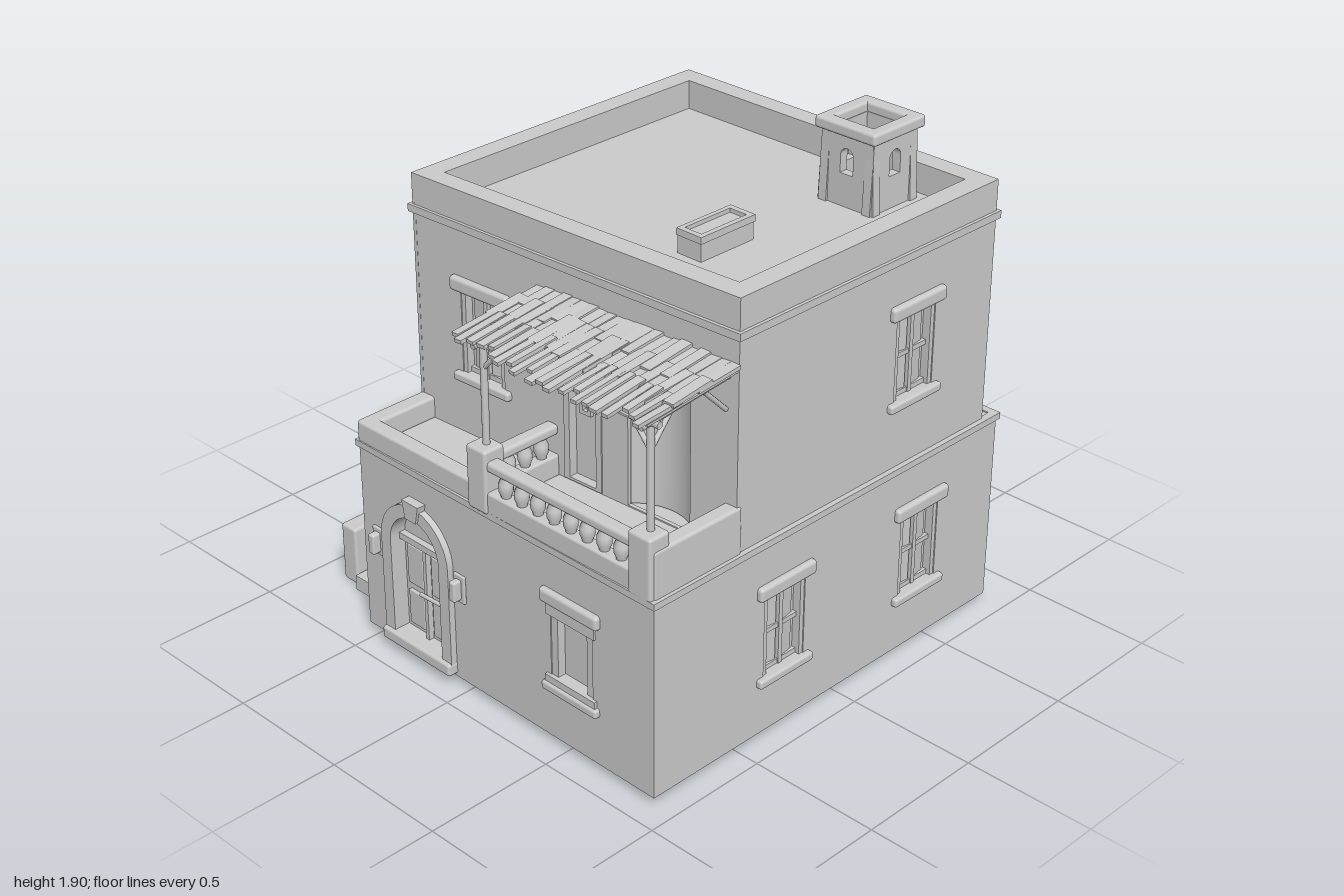
import * as THREE from 'three';
import { RoundedBoxGeometry } from 'three/addons/geometries/RoundedBoxGeometry.js';

const mat = new THREE.MeshStandardMaterial({ color: 0xcccccc, side: THREE.DoubleSide });

function add(parent, name, geo, x = 0, y = 0, z = 0) {
  const m = new THREE.Mesh(geo, mat);
  m.name = name;
  m.position.set(x, y, z);
  parent.add(m);
  return m;
}

// Box given by its extents; soft > 0 rounds the edges
function block(parent, name, x0, x1, y0, y1, z0, z1, soft = 0) {
  const s = [x1 - x0, y1 - y0, z1 - z0];
  const geo = soft ? new RoundedBoxGeometry(...s, 2, soft) : new THREE.BoxGeometry(...s);
  return add(parent, name, geo, (x0 + x1) / 2, (y0 + y1) / 2, (z0 + z1) / 2);
}

// Round bar between two points
function bar(parent, name, p, q, r) {
  const a = new THREE.Vector3(...p), d = new THREE.Vector3(...q).sub(a);
  const m = add(parent, name, new THREE.CylinderGeometry(r, r, d.length(), 8));
  m.position.copy(a).addScaledVector(d, 0.5);
  m.quaternion.setFromUnitVectors(new THREE.Vector3(0, 1, 0), d.normalize());
}

const toShape = pts => new THREE.Shape(pts.map(p => new THREE.Vector2(...p)));
const rect = (x0, x1, y0, y1) => toShape([[x0, y0], [x1, y0], [x1, y1], [x0, y1]]);

function arch(cx, half, y0, spring) {
  const s = new THREE.Shape();
  s.moveTo(cx - half, y0);
  s.lineTo(cx + half, y0);
  s.lineTo(cx + half, spring);
  s.absarc(cx, spring, half, 0, Math.PI, false);
  s.closePath();
  return s;
}

function extrude(shape, holes, depth) {
  shape.holes.push(...holes);
  return new THREE.ExtrudeGeometry(shape, { depth, bevelEnabled: false, curveSegments: 16 });
}

// Slab or ring from a plan outline of [x, z] corners
function plan(parent, name, outer, inner, y0, y1) {
  const geo = extrude(toShape(outer), inner ? [toShape(inner)] : [], y1 - y0);
  return add(parent, name, geo.rotateX(Math.PI / 2), 0, y1, 0);
}

// Grow (d > 0) or shrink a four-cornered plan
const grow = (pts, d) => pts.map(([x, z]) => [x + Math.sign(x) * d, z + Math.sign(z) * d]);

// Wall panel from a to b, left to right as seen from outside; local z points out
function wall(parent, name, a, b, y0, y1, holes, foot) {
  const g = new THREE.Group();
  g.name = name;
  const dx = b[0] - a[0], dz = b[1] - a[1], len = Math.hypot(dx, dz);
  g.position.set(a[0], 0, a[1]);
  g.rotation.y = Math.atan2(-dz, dx);
  const outline = toShape([[0, y0], ...foot, [len, y0], [len, y1], [0, y1]]);
  add(g, 'wallPanel', extrude(outline, holes, 0.015), 0, 0, -0.015);
  parent.add(g);
  return g;
}

const windowHole = ([s, y]) => rect(s - 0.1, s + 0.1, y + 0.03, y + 0.35);

// Window: sill, lintel, frame, panes and glazing bars; a plain one is a framed niche
function addWindow(g, [s, y, plain]) {
  const w = new THREE.Group();
  w.name = 'window';
  w.position.set(s, y, 0);
  g.add(w);
  block(w, 'sill', -0.132, 0.132, 0, 0.034, -0.03, 0.022, 0.01);
  block(w, 'lintel', -0.138, 0.138, 0.345, 0.4, -0.03, 0.022, 0.014);
  block(w, 'pane', -0.1, 0.1, 0.03, 0.35, -0.042, -0.036);
  const rim = plain ? 0.03 : 0.018;
  for (const k of [-1, 1]) {
    block(w, 'jamb', k * (0.1 - rim / 2) - rim / 2, k * (0.1 - rim / 2) + rim / 2, 0.03, 0.35, -0.04, -0.004);
    if (!plain) block(w, 'sash', k * 0.042 - 0.026, k * 0.042 + 0.026, 0.05, 0.33, -0.034, -0.028).rotation.y = k * 0.15;
  }
  if (plain) {
    block(w, 'nicheHead', -0.115, 0.115, 0.3, 0.35, -0.04, 0.008);
    block(w, 'nicheFoot', -0.12, 0.12, 0.03, 0.06, -0.04, 0.012);
    return;
  }
  block(w, 'mullion', -0.009, 0.009, 0.03, 0.35, -0.04, -0.016);
  for (const h of [0.044, 0.19, 0.334])
    block(w, 'glazingBar', -0.1, 0.1, h - 0.009, h + 0.009, -0.04, -0.02);
}

// Four walls around a plan [backLeft, backRight, frontRight, frontLeft]
function storey(parent, name, p, y0, y1, sides) {
  const g = new THREE.Group();
  g.name = name;
  parent.add(g);
  const ends = { front: [3, 2], right: [2, 1], back: [1, 0], left: [0, 3] };
  const out = {};
  for (const [side, [i, j]] of Object.entries(ends)) {
    const { windows, holes = [], foot = [] } = sides[side];
    out[side] = wall(g, side + 'Wall', p[i], p[j], y0, y1, [...windows.map(windowHole), ...holes], foot);
    windows.forEach(w => addWindow(out[side], w));
  }
  return out;
}

const balusterGeo = new THREE.LatheGeometry(
  [[0.018, 0], [0.018, 0.01], [0.026, 0.03], [0.026, 0.055], [0.016, 0.08], [0.018, 0.1]]
    .map(p => new THREE.Vector2(...p)), 12);

// Stair line as [z, y]: three deep treads, a small landing, then nine steeper steps
function stairLine() {
  const pts = [];
  for (let i = 0, z = 0.76; i < 13; i++) {
    const y = (i + 1) * 0.0605, next = z - (i < 4 ? 0.14 : 0.74 / 9);
    pts.push([z, y], [next, y]);
    z = next;
  }
  return pts;
}

export function createModel() {
  const house = new THREE.Group();
  house.name = 'house';
  const low = [[-0.545, -0.825], [0.915, -0.825], [0.915, 0.905], [-0.545, 0.89]];
  const up = [[-0.545, -0.755], [0.905, -0.755], [0.905, 0.52], [-0.545, 0.6]];
  const line = stairLine(), back = [...line].reverse();

  // Ground floor, open below and under the stair, and first floor
  const ground = storey(house, 'groundFloor', low, 0.03, 0.78, {
    front: { windows: [[1.075, 0.22, true]], holes: [arch(0.305, 0.13, 0.06, 0.48)] },
    right: { windows: [[0.62, 0.22], [1.32, 0.22]] },
    back: { windows: [[0.55, 0.21], [0.99, 0.21]] },
    left: { windows: [[1.21, 0.22]], foot: [[0.285, 0.03], ...back.map(([z, y]) => [z + 0.825, y - 0.03])] },
  });
  const upper = storey(house, 'firstFloor', up, 0.76, 1.6, {
    front: { windows: [[0.32, 0.99]], holes: [rect(0.7, 0.87, 0.79, 1.27), rect(0.985, 1.255, 0.79, 1.29)] },
    right: { windows: [[0.87, 1.015]] },
    back: { windows: [[0.42, 1.01], [1.08, 1.01]] },
    left: { windows: [[0.39, 1.01], [1.07, 1.01]] },
  });
  plan(house, 'terraceFloor', low, null, 0.755, 0.785);
  plan(house, 'lowerCornice', grow(low, 0.01), grow(low, -0.02), 0.765, 0.79);
  plan(house, 'upperCornice', grow(up, 0.012), grow(up, -0.02), 1.567, 1.595);
  plan(house, 'roofParapet', up, grow(up, -0.08), 1.58, 1.71);
  plan(house, 'roofFloor', grow(up, -0.02), null, 1.575, 1.6);

  // Arched front door with surround, keystone, threshold and lamps
  const door = new THREE.Group();
  door.name = 'frontDoor';
  ground.front.add(door);
  door.position.x = 0.305;
  add(door, 'doorSurround', extrude(arch(0, 0.178, 0.06, 0.47), [arch(0, 0.128, 0.061, 0.47)], 0.075), 0, 0, -0.05);
  add(door, 'doorBack', extrude(arch(0, 0.13, 0.06, 0.47), [], 0.01), 0, 0, -0.05);
  add(door, 'keystone', extrude(toShape([[-0.028, 0.6], [0.028, 0.6], [0.043, 0.67], [-0.043, 0.67]]), [], 0.075), 0, 0, -0.04);
  block(door, 'threshold', -0.185, 0.18, 0.04, 0.09, -0.05, 0.04, 0.012);
  block(door, 'transom', -0.128, 0.128, 0.455, 0.48, -0.06, -0.015);
  block(door, 'doorMeetingRail', -0.008, 0.008, 0.09, 0.46, -0.06, -0.018);
  for (const k of [-1, 1]) {
    for (const [y0, y1] of [[0.11, 0.25], [0.28, 0.44]])
      block(door, 'doorPanel', k * 0.064 - 0.042, k * 0.064 + 0.042, y0, y1, -0.06, -0.028, 0.004);
    block(door, 'lampPlate', k * 0.217 - 0.028, k * 0.217 + 0.028, 0.36, 0.47, 0, 0.012, 0.004);
    block(door, 'lampGlass', k * 0.217 - 0.015, k * 0.217 + 0.015, 0.375, 0.455, 0.008, 0.045, 0.008);
  }
  bar(door, 'doorHandle', [-0.01, 0.28, -0.005], [0.1, 0.285, -0.005], 0.008);

  // Terrace door and wide opening
  block(upper.front, 'terraceDoorLeaf', 0.7, 0.87, 0.79, 1.27, -0.04, -0.03);
  add(upper.front, 'terraceDoorFrame',
    extrude(rect(0.7, 0.87, 0.79, 1.27), [rect(0.725, 0.845, 0.8, 1.24)], 0.045), 0, 0, -0.04);
  add(upper.front, 'terraceDoorWindow',
    extrude(rect(0.755, 0.805, 1.05, 1.2), [rect(0.768, 0.792, 1.065, 1.185)], 0.015), 0, 0, -0.03);
  const curve = new THREE.CylinderGeometry(0.2, 0.2, 0.5, 16, 1, true, Math.PI - 0.74, 1.48);
  add(upper.front, 'openingBack', curve, 1.12, 1.04, 0.13);

  // Terrace rim and balcony
  block(house, 'terraceRimLeft', -0.547, -0.48, 0.78, 0.868, 0.58, 0.893, 0.012);
  block(house, 'terraceRimFront', -0.547, 0.07, 0.78, 0.868, 0.835, 0.896, 0.012);
  block(house, 'balconyCurb', 0.06, 0.9, 0.78, 0.865, 0.85, 0.907, 0.01);
  block(house, 'balconySideWall', 0.85, 0.912, 0.78, 0.965, 0.5, 0.9, 0.012);
  block(house, 'balconyPostLeft', 0.05, 0.145, 0.78, 1.02, 0.825, 0.915, 0.012);
  block(house, 'balconyPostRight', 0.805, 0.907, 0.78, 1.015, 0.825, 0.915, 0.012);
  block(house, 'balconyRail', 0.13, 0.82, 0.94, 0.98, 0.85, 0.905, 0.014);
  for (let i = 0; i < 8; i++) add(house, 'baluster', balusterGeo, 0.205 + i * 0.077, 0.86, 0.878);
  block(house, 'balconySideCurb', 0.07, 0.125, 0.78, 0.865, 0.56, 0.84, 0.01);
  block(house, 'balconySideRail', 0.07, 0.125, 0.94, 0.98, 0.56, 0.84, 0.014);
  for (let i = 0; i < 3; i++) add(house, 'baluster', balusterGeo, 0.098, 0.86, 0.62 + i * 0.075);

  // Pergola: posts, beams, braces and rows of overlapping slats
  const pergola = new THREE.Group();
  pergola.name = 'pergola';
  house.add(pergola);
  for (const [x, k] of [[0.1, 1], [0.86, -1]]) {
    bar(pergola, 'pergolaPost', [x, 1, 0.865], [x, 1.4, 0.865], 0.013);
    bar(pergola, 'sideBeam', [x, 1.43, 0.52], [x, 1.395, 0.91], 0.013);
    bar(pergola, 'frontBrace', [x, 1.3, 0.865], [x + k * 0.08, 1.39, 0.865], 0.009);
    bar(pergola, 'sideBrace', [x, 1.3, 0.865], [x, 1.4, 0.78], 0.009);
    bar(pergola, 'wallBrace', [x, 1.31, 0.53], [x, 1.41, 0.63], 0.009);
  }
  bar(pergola, 'frontBeam', [0.06, 1.4, 0.865], [0.9, 1.4, 0.865], 0.013);
  const decking = block(pergola, 'slatBase', 0.05, 0.9, -0.004, 0.004, -0.2, 0.2);
  decking.position.set(0.475, 1.437, 0.72);
  decking.rotation.x = 0.09;
  let seed = 7;
  const rnd = () => (seed = (seed * 16807) % 2147483647) / 2147483647;
  for (let row = 0; row < 3; row++) {
    for (let i = 0; i < 22; i++) {
      const z0 = 0.52 + row * 0.125, z1 = row < 2 ? z0 + 0.15 + rnd() * 0.06 : 0.92 + rnd() * 0.08;
      const w = row < 2 ? 0.036 + rnd() * 0.009 : 0.024 + rnd() * 0.014;
      const slat = add(pergola, 'slat', new THREE.BoxGeometry(w, 0.014, z1 - z0),
        0.06 + i * 0.0395, 1.462 - row * 0.0115 + rnd() * 0.012, (z0 + z1) / 2);
      slat.rotation.set(0.09 + rnd() * 0.03, (rnd() - 0.5) * 0.05, (rnd() - 0.5) * 0.14);
    }
  }

  // Outside stair as a thin folded shell, with a sloping side wall
  const sideways = (pts, depth) => extrude(toShape(pts), [], depth).rotateY(-Math.PI / 2);
  const shell = [[0.76, 0], ...line, ...back.map(([z, y]) => [z - 0.012, y - 0.012]), [0.748, 0]];
  add(house, 'stair', sideways(shell, 0.245), -0.54);
  const slope = [[0.58, 0], [0.58, 0.31], [0.48, 0.34], [0.35, 0.4], [0.2, 0.53], [0, 0.73], [-0.12, 0.8],
    [-0.28, 0.84], [-0.45, 0.84], [-0.45, 0.78], [-0.54, 0.78], [-0.54, 0]];
  add(house, 'stairSideWall', sideways(slope, 0.06), -0.77);
  block(house, 'stairFootPost', -0.88, -0.8, 0, 0.24, 0.575, 0.74, 0.012);
  block(house, 'stairTopPost', -0.818, -0.738, 0.78, 0.99, -0.44, -0.32, 0.015);

  // Landing enclosure behind the stair
  plan(house, 'landing', [[-0.92, -0.97], [-0.36, -0.97], [-0.36, -0.76], [-0.54, -0.68], [-0.9, -0.48]], null, 0.755, 0.785);
  block(house, 'landingOuterWall', -0.937, -0.87, 0.03, 0.815, -0.99, -0.42, 0.012);
  block(house, 'landingBackWall', -0.937, -0.36, 0.03, 0.815, -0.99, -0.925, 0.012);
  block(house, 'landingEndWall', -0.395, -0.36, 0.03, 0.8, -0.95, -0.82);
  block(house, 'landingCornerPost', -0.415, -0.33, 0.03, 1.08, -1, -0.91, 0.015);
  block(house, 'landingPost', -0.77, -0.69, 0.75, 1.08, -0.755, -0.63, 0.015);
  block(house, 'landingPanel', -0.7, -0.54, 0.76, 0.92, -0.745, -0.7);
  block(house, 'landingRail', -0.7, -0.54, 1.02, 1.06, -0.75, -0.69, 0.014);
  block(house, 'landingEndRail', -0.4, -0.345, 1.02, 1.06, -0.92, -0.745, 0.014);
  block(house, 'landingSideRail', -0.77, -0.72, 0.93, 0.97, -0.64, -0.42, 0.014);
  for (const [x, y, z] of [[-0.63, 0.92, -0.72], [-0.372, 0.92, -0.83], [-0.745, 0.835, -0.54]])
    add(house, 'baluster', balusterGeo, x, y, z);
  block(house, 'landingEndCurb', -0.4, -0.345, 0.72, 0.92, -0.92, -0.75);
  block(house, 'landingSideCurb', -0.77, -0.72, 0.75, 0.84, -0.64, -0.42);

  // Chimney with four arched vents and a hollow cap, and the roof hatch
  const chimney = new THREE.Group();
  chimney.name = 'chimney';
  chimney.position.set(0.53, 0, -0.52);
  house.add(chimney);
  for (let i = 0; i < 4; i++) {
    const side = toShape([[-0.125, 1.57], [0.125, 1.57], [0.112, 1.87], [-0.112, 1.87]]);
    const m = add(chimney, 'chimneySide', extrude(side, [arch(0, 0.028, 1.72, 1.785)], 0.035).translate(0, 0, 0.08));
    m.rotation.y = i * Math.PI / 2;
    const cap = add(chimney, 'chimneyCap', new RoundedBoxGeometry(0.268, 0.045, 0.052, 2, 0.012).translate(0, 1.8825, 0.108));
    cap.rotation.y = i * Math.PI / 2;
  }
  block(house, 'roofHatch', 0.38, 0.485, 1.58, 1.675, 0.005, 0.255);
  plan(house, 'roofHatchRim', [[0.376, 0], [0.488, 0], [0.488, 0.258], [0.376, 0.258]],
    [[0.394, 0.022], [0.468, 0.022], [0.468, 0.236], [0.394, 0.236]], 1.665, 1.69);
  return house;
}
